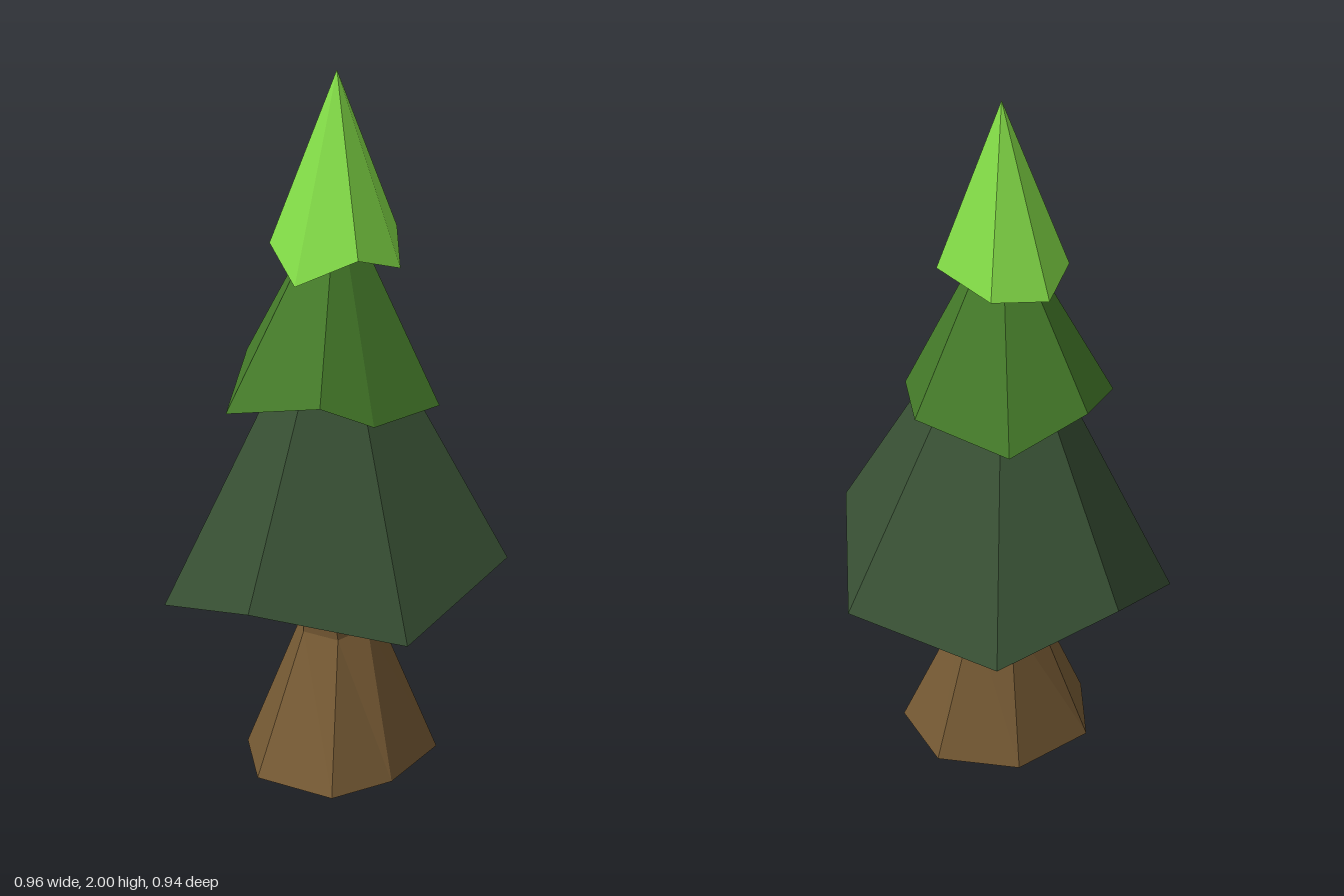
import * as THREE from 'three';

const SIDES = 7;

// A ring that has shrunk to one point (a tip or the middle of a cap)
const point = (x, y, z) => Array.from({ length: SIDES }, () => [x, y, z]);

// Faceted skin over a stack of seven-sided rings, ordered from +x towards +z
function loft(name, color, rings) {
  const pos = [];
  const same = (p, q) => p.every((v, k) => v === q[k]);
  const tri = (a, b, c) => {
    if (!same(a, b) && !same(b, c) && !same(a, c)) pos.push(...a, ...b, ...c);
  };
  for (let r = 0; r < rings.length - 1; r++) {
    const lo = rings[r], hi = rings[r + 1];
    for (let i = 0; i < SIDES; i++) {
      const j = (i + 1) % SIDES;
      tri(lo[i], hi[i], hi[j]);
      tri(lo[i], hi[j], lo[j]);
    }
  }
  const geo = new THREE.BufferGeometry();
  geo.setAttribute('position', new THREE.Float32BufferAttribute(pos, 3));
  geo.computeVertexNormals();
  const mesh = new THREE.Mesh(geo, new THREE.MeshStandardMaterial({ color, flatShading: true }));
  mesh.name = name;
  return mesh;
}

// Foliage tier: hollowed underside, ragged rim, pointed tip
const tier = (name, color, hollow, rim, tip) =>
  loft(name, color, [point(...hollow), rim, point(...tip)]);

export function createModel() {
  const tree = new THREE.Group();
  tree.name = 'pineTree';

  // Trunk: flared foot, narrow waist, then a twisted lean towards the front
  const foot = [
    [0.285, 0, -0.03], [0.17, 0, 0.2], [0.01, 0, 0.315], [-0.21, 0, 0.21],
    [-0.265, 0, -0.02], [-0.1, 0, -0.215], [0.14, 0, -0.22],
  ];
  const waist = [
    [0.1, 0.43, -0.05], [0.09, 0.41, 0.06], [0.01, 0.39, 0.11], [-0.09, 0.4, 0.08],
    [-0.105, 0.41, 0], [-0.05, 0.43, -0.09], [0.06, 0.44, -0.1],
  ];
  const neck = Array.from({ length: SIDES }, (_, i) => {
    const a = 0.17 + (i / SIDES) * Math.PI * 2;
    return [0.01 + 0.115 * Math.cos(a), 0.8, 0.07 + 0.105 * Math.sin(a)];
  });
  tree.add(loft('trunk', 0x765a34, [point(0, 0, 0.04), foot, waist, neck, point(0.01, 0.8, 0.07)]));

  // Foliage, from the ground up
  tree.add(tier('lowerFoliage', 0x385034, [0, 0.77, 0.03], [
    [0.48, 0.665, 0.12], [0.225, 0.54, 0.455], [-0.2, 0.62, 0.465], [-0.48, 0.48, 0.11],
    [-0.385, 0.64, -0.27], [-0.085, 0.54, -0.47], [0.375, 0.54, -0.29],
  ], [0, 1.5, 0.04]));

  tree.add(tier('middleFoliage', 0x457c2a, [0, 1.22, 0.03], [
    [0.285, 1.09, 0.08], [0.12, 1.09, 0.27], [-0.02, 1.155, 0.32], [-0.29, 1.08, 0.17],
    [-0.265, 1.17, -0.12], [-0.08, 1.1, -0.275], [0.19, 1.155, -0.215],
  ], [0, 1.69, 0.03]));

  tree.add(tier('topFoliage', 0x84de48, [0, 1.56, 0.025], [
    [0.175, 1.475, 0.075], [0.07, 1.525, 0.19], [-0.1, 1.445, 0.175], [-0.18, 1.53, 0.05],
    [-0.15, 1.48, -0.08], [-0.005, 1.495, -0.145], [0.155, 1.55, -0.08],
  ], [0, 2, 0.025]));

  return tree;
}
